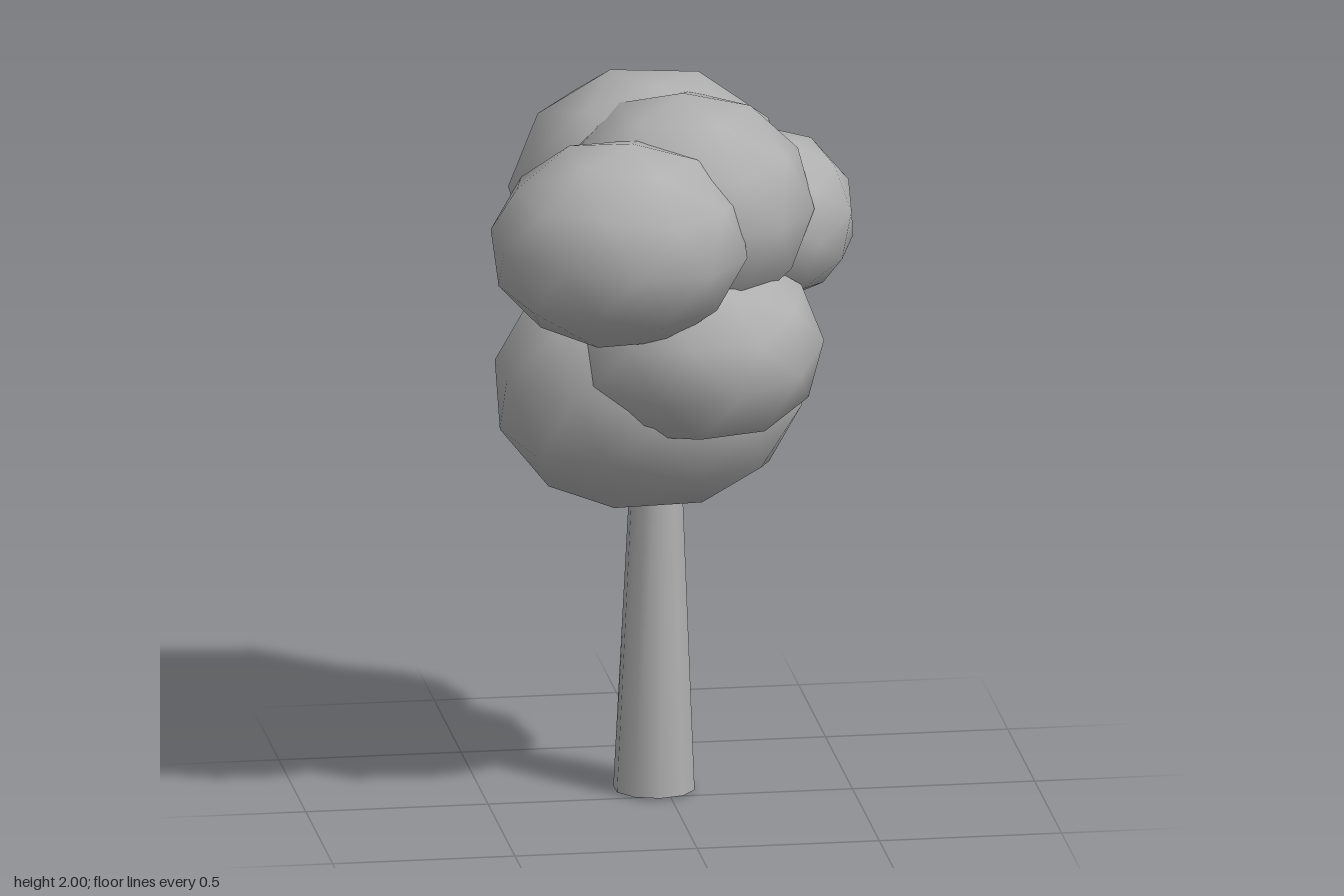
import * as THREE from 'three';
import { mergeVertices } from 'three/addons/utils/BufferGeometryUtils.js';

const grey = new THREE.MeshStandardMaterial({ color: 0xb0b0b0 });
grey.name = 'plain grey';

// Low-poly ball with smooth normals, turned, fitted to a box and cut flat at a floor
function foliage(name, min, max, turn, floor = -Infinity) {
  const ball = new THREE.IcosahedronGeometry(1, 1);
  ball.deleteAttribute('uv');
  ball.deleteAttribute('normal');
  const geo = mergeVertices(ball, 1e-4);
  geo.rotateX(-1.0172); // a five-sided corner points up
  geo.applyMatrix4(new THREE.Matrix4().makeRotationFromEuler(new THREE.Euler(...turn)));
  geo.computeBoundingBox();
  const from = geo.boundingBox;
  const size = from.getSize(new THREE.Vector3());
  const centre = from.getCenter(new THREE.Vector3());
  geo.translate(-centre.x, -centre.y, -centre.z);
  geo.scale(...max.map((m, i) => (m - min[i]) / size.getComponent(i)));
  geo.translate(...max.map((m, i) => (m + min[i]) / 2));
  const pos = geo.attributes.position;
  for (let i = 0; i < pos.count; i++) pos.setY(i, Math.max(pos.getY(i), floor));
  geo.computeVertexNormals();
  const mesh = new THREE.Mesh(geo, grey);
  mesh.name = name;
  return mesh;
}

// Open tapered limb between two points
function limb(name, a, b, ra, rb, sides) {
  const start = new THREE.Vector3(...a), end = new THREE.Vector3(...b);
  const dir = end.clone().sub(start);
  const mesh = new THREE.Mesh(
    new THREE.CylinderGeometry(rb, ra, dir.length(), sides, 1, true), grey);
  mesh.position.copy(start).addScaledVector(dir, 0.5);
  mesh.quaternion.setFromUnitVectors(new THREE.Vector3(0, 1, 0), dir.normalize());
  mesh.name = name;
  return mesh;
}

export function createModel() {
  const tree = new THREE.Group();
  tree.name = 'tree';

  // Trunk, leaning slightly, and a twig poking out of the lower crown
  tree.add(limb('trunk', [-0.033, 0.003, -0.079], [-0.023, 1.05, -0.102], 0.112, 0.064, 10));
  tree.add(limb('twig', [-0.03, 1.0, -0.1], [-0.34, 1.37, -0.19], 0.03, 0.012, 6));

  // Crown
  tree.add(
    foliage('lowerFoliage', [-0.46, 0.8, -0.44], [0.355, 1.52, 0.335], [0, 0.3, -0.15], 0.855),
    foliage('coreFoliage', [-0.25, 1.15, -0.36], [0.31, 1.6, 0.2], [0, 0.2, 0]),
    foliage('frontFoliage', [-0.29, 1.03, -0.24], [0.4, 1.58, 0.44], [0.2, 0.5, 0.1], 1.09),
    foliage('frontRightFoliage', [-0.52, 1.365, -0.04], [0.16, 1.94, 0.575], [0.1, 0.35, -0.1]),
    foliage('topFoliage', [-0.32, 1.36, -0.31], [0.38, 2.0, 0.37], [0, 0.4, 0]),
    foliage('leftFoliage', [0.02, 1.365, -0.395], [0.52, 1.835, 0.145], [0.2, 0.2, 0.3]),
    foliage('backFoliage', [-0.41, 1.34, -0.575], [0.36, 1.99, 0.19], [0.28, -0.12, 0]),
  );
  return tree;
}
